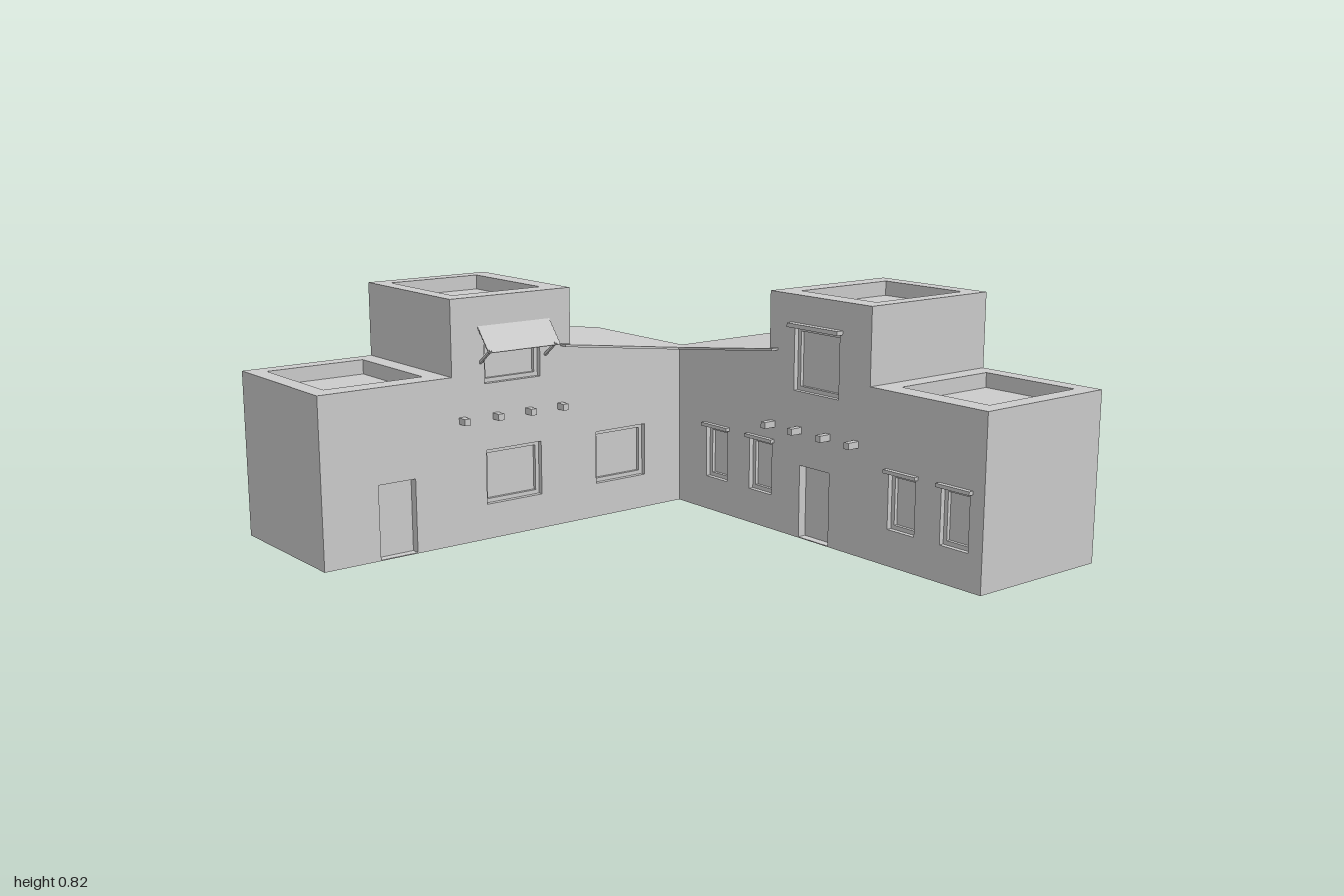
import * as THREE from 'three';

const mat = new THREE.MeshStandardMaterial({ color: 0xcccccc, flatShading: true, side: THREE.DoubleSide });
const FRONT = -0.43, BACK = -0.965, END = 0.43, LOW = 0.565, HIGH = 0.82;
const slopeY = x => LOW - (x - END) * 0.125;

function add(group, name, geo, x = 0, y = 0, z = 0) {
  const m = new THREE.Mesh(geo, mat);
  m.name = name;
  m.position.set(x, y, z);
  group.add(m);
  return m;
}

const box = (g, name, w, h, d, x, y, z) => add(g, name, new THREE.BoxGeometry(w, h, d), x, y, z);

const rectPath = (x0, x1, y0, y1, P = THREE.Path) =>
  new P([[x0, y0], [x1, y0], [x1, y1], [x0, y1]].map(p => new THREE.Vector2(...p)));

// Square open tube with a floor at its inner end, opening toward local +z at z = 0
function niche(name, w, h, depth) {
  const g = new THREE.Group();
  g.name = name;
  const tube = new THREE.CylinderGeometry(Math.SQRT1_2, Math.SQRT1_2, 1, 4, 1, true);
  tube.rotateY(Math.PI / 4).rotateX(Math.PI / 2).scale(w, h, depth);
  add(g, name + 'Reveal', tube, 0, 0, -depth / 2);
  add(g, name + 'Panel', new THREE.PlaneGeometry(w, h), 0, 0, -depth);
  return g;
}

// Wall facing along x
function sideWall(g, name, x, y0, y1, dir) {
  const geo = new THREE.PlaneGeometry(FRONT - BACK, y1 - y0).rotateY(dir * Math.PI / 2);
  add(g, name, geo, x, (y0 + y1) / 2, (FRONT + BACK) / 2);
}

// Flat roof: parapet ring around a sunken deck
function flatRoof(g, name, x0, x1, y, ix0, ix1) {
  const s = rectPath(x0, x1, -FRONT, -BACK, THREE.Shape);
  s.holes.push(rectPath(ix0, ix1, 0.505, 0.905));
  add(g, name + 'Parapet', new THREE.ShapeGeometry(s).rotateX(-Math.PI / 2), 0, y, 0);
  const well = niche(name + 'Deck', ix1 - ix0, 0.4, 0.05);
  well.rotation.x = -Math.PI / 2;
  well.position.set((ix0 + ix1) / 2, y, -0.705);
  g.add(well);
}

// One stepped wing running along x with its facade toward +z
function wing(name, openings) {
  const g = new THREE.Group();
  g.name = name;
  const outline = () => new THREE.Shape([
    [-1, 0], [END, 0], [END, LOW], [-0.05, slopeY(-0.05)], [-0.05, HIGH],
    [-0.52, HIGH], [-0.52, LOW], [-1, LOW]].map(p => new THREE.Vector2(...p)));

  // Facade with recessed doors and windows
  const facade = outline();
  for (const [kind, x0, x1, y0, y1] of openings) {
    facade.holes.push(rectPath(x0, x1, y0, y1));
    const n = niche(kind, x1 - x0, y1 - y0, 0.03);
    n.position.set((x0 + x1) / 2, (y0 + y1) / 2, FRONT);
    g.add(n);
    if (kind === 'window') { // slim frame inside the recess
      const f = rectPath(x0, x1, y0, y1, THREE.Shape);
      f.holes.push(rectPath(x0 + 0.014, x1 - 0.014, y0 + 0.014, y1 - 0.014));
      add(g, 'windowFrame', new THREE.ExtrudeGeometry(f, { depth: 0.012, bevelEnabled: false }), 0, 0, FRONT - 0.029);
    }
  }
  add(g, 'facade', new THREE.ShapeGeometry(facade), 0, 0, FRONT);
  add(g, 'backWall', new THREE.ShapeGeometry(outline()).scale(-1, 1, 1).rotateY(Math.PI), 0, 0, BACK);
  sideWall(g, 'outerEndWall', -1, 0, LOW, -1);
  sideWall(g, 'lowerStepWall', -0.52, LOW, HIGH, -1);
  sideWall(g, 'upperStepWall', -0.05, slopeY(-0.05), HIGH, 1);
  sideWall(g, 'innerEndWall', END, 0, LOW, 1);
  flatRoof(g, 'lowRoof', -1, -0.52, LOW, -0.94, -0.585);
  flatRoof(g, 'highRoof', -0.52, -0.05, HIGH, -0.465, -0.12);

  // Thin sloping roof, cut diagonally where the wings meet
  const plan = new THREE.Shape([[-0.09, 1], [-0.09, 0.4], [0.4, 0.4], [0.485, 0.485], [0.485, 1]]
    .map(p => new THREE.Vector2(...p)));
  const slab = new THREE.ExtrudeGeometry(plan, { depth: 0.008, bevelEnabled: false }).rotateX(-Math.PI / 2);
  const p = slab.attributes.position;
  for (let i = 0; i < p.count; i++) p.setY(i, p.getY(i) - 0.006 + slopeY(p.getX(i)));
  slab.computeVertexNormals();
  add(g, 'slopingRoof', slab);
  return g;
}

// Row of beam ends poking out of the facade
function beams(g, xs, y, reach) {
  for (const x of xs) box(g, 'beamEnd', 0.022, 0.022, reach, x, y, FRONT + reach / 2);
}

// Slatted awning on two struts
function awning(g) {
  const a = new THREE.Group();
  a.name = 'awning';
  const slats = 6, top = [0.725, -0.435], low = [0.643, -0.367];
  const tilt = Math.atan2(low[1] - top[1], top[0] - low[0]);
  const step = Math.hypot(top[0] - low[0], top[1] - low[1]) / slats;
  for (let i = 0; i < slats; i++) {
    const t = (i + 0.5) / slats;
    const s = box(a, 'slat', 0.283, step * 1.05, 0.004, -0.276,
      top[0] + (low[0] - top[0]) * t, top[1] + (low[1] - top[1]) * t);
    s.rotation.x = -tilt + 0.12;
  }
  for (const x of [-0.41, -0.153]) {
    const strut = box(a, 'strut', 0.008, 0.085, 0.008, x, 0.625, -0.4);
    strut.rotation.x = Math.atan2(0.066, 0.05);
  }
  g.add(a);
}

export function createModel() {
  const model = new THREE.Group();
  model.name = 'building';

  // Back wing
  const back = wing('backWing', [
    ['door', -0.8, -0.665, 0.003, 0.25],
    ['window', -0.395, -0.175, 0.12, 0.305],
    ['window', 0.055, 0.27, 0.12, 0.305],
    ['window', -0.395, -0.175, 0.53, 0.71]]);
  beams(back, [-0.485, -0.355, -0.225, -0.095], 0.418, 0.035);
  awning(back);
  model.add(back);

  // Side wing: the same shell mirrored across the diagonal
  const small = [-0.8875, -0.6675, -0.01, 0.22];
  const side = wing('sideWing', [
    ['door', -0.345, -0.205, 0.003, 0.25],
    ...small.map(x => ['window', x - 0.057, x + 0.057, 0.12, 0.303]),
    ['window', -0.38, -0.17, 0.5, 0.712]]);
  beams(side, [-0.07, -0.2, -0.335, -0.465], 0.37, 0.045);
  for (const x of small) box(side, 'lintel', 0.135, 0.012, 0.018, x, 0.31, FRONT + 0.008);
  box(side, 'upperLintel', 0.235, 0.014, 0.026, -0.275, 0.72, FRONT + 0.012);
  side.scale.z = -1;
  side.rotation.y = Math.PI / 2;
  model.add(side);

  return model;
}
